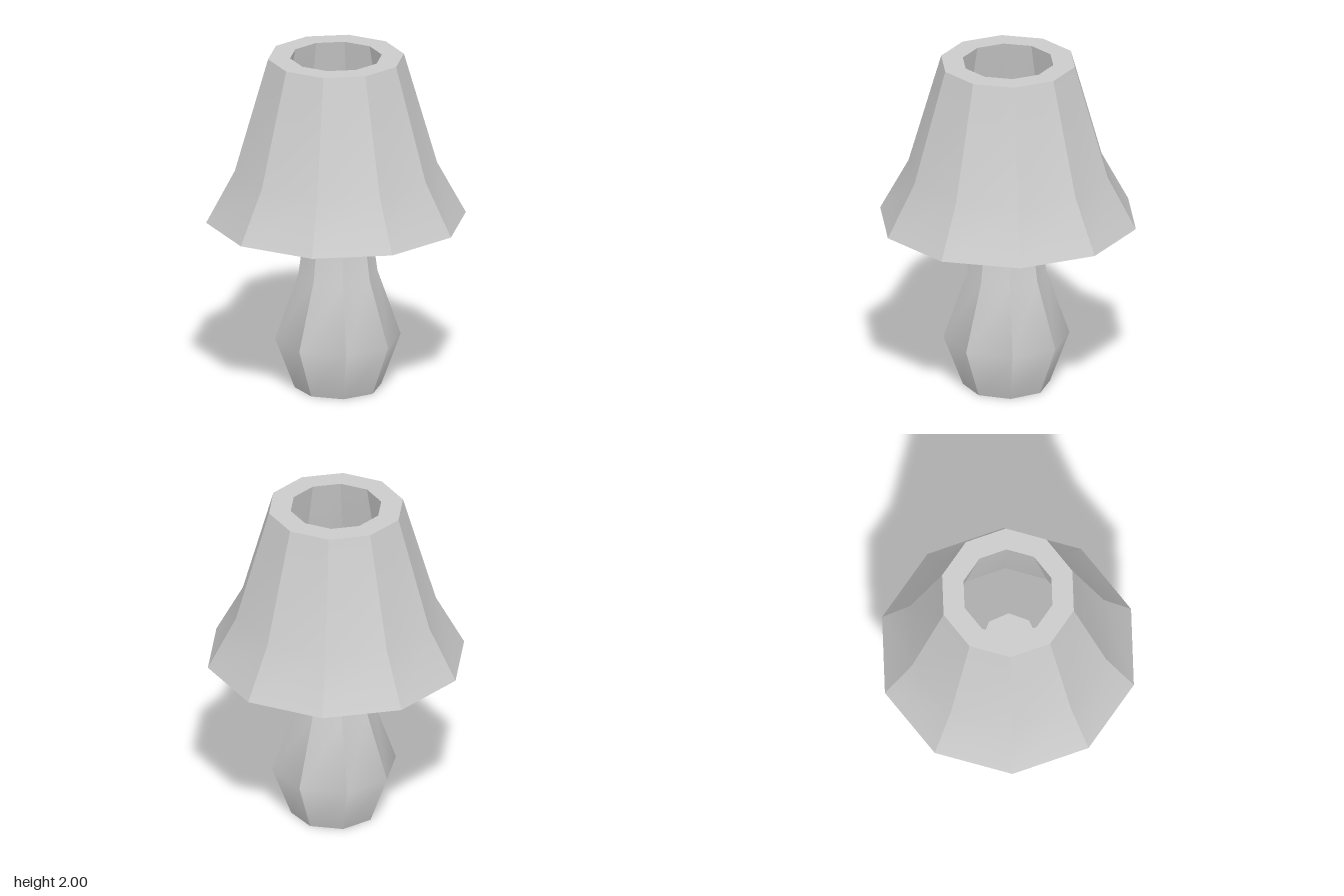
import * as THREE from 'three';
import { mergeGeometries } from 'three/addons/utils/BufferGeometryUtils.js';

// One flat-sided column between two angles: smooth along the profile, sharp at its sides.
function facet(profile, a0, a1) {
  const positions = [];
  const index = [];
  profile.forEach(([r, y], i) => {
    for (const a of [a0, a1]) positions.push(r * Math.cos(a), y, r * Math.sin(a));
    if (i === 0) return;
    const k = 2 * (i - 1);
    if (profile[i - 1][0] > 0) index.push(k, k + 2, k + 1);
    if (r > 0) index.push(k + 1, k + 2, k + 3);
  });
  const geometry = new THREE.BufferGeometry();
  geometry.setAttribute('position', new THREE.Float32BufferAttribute(positions, 3));
  geometry.setIndex(index);
  geometry.computeVertexNormals();
  return geometry;
}

// Polygonal turning; each profile run meets the next one at a hard edge.
function facetedTurning(name, sides, runs, material) {
  const pieces = [];
  const step = (Math.PI * 2) / sides;
  for (const run of runs) {
    for (let i = 0; i < sides; i++) pieces.push(facet(run, i * step, (i + 1) * step));
  }
  const mesh = new THREE.Mesh(mergeGeometries(pieces), material);
  mesh.name = name;
  return mesh;
}

export function createModel() {
  const model = new THREE.Group();
  model.name = 'tableLamp';
  const material = new THREE.MeshStandardMaterial({ color: 0xcccccc });

  // Eight-sided base: underside, bulging body with neck, flat top
  const body = [[0.252, 0], [0.365, 0.3], [0.23, 0.69], [0.163, 1.18]];
  const base = facetedTurning('base', 8, [
    [[0, 0], body[0]],
    body,
    [body[3], [0, 1.18]],
  ], material);
  base.position.set(0.01, 0, 0.01);
  model.add(base);

  // Ten-sided thick shade, open at both ends
  const outer = [[0.755, 1.02], [0.588, 1.33], [0.395, 2]];
  const inner = outer.map(([r, y]) => [r * 0.675, y]).reverse();
  model.add(facetedTurning('shade', 10, [
    outer,
    [outer[2], inner[0]],
    inner,
    [inner[2], outer[0]],
  ], material));

  return model;
}
